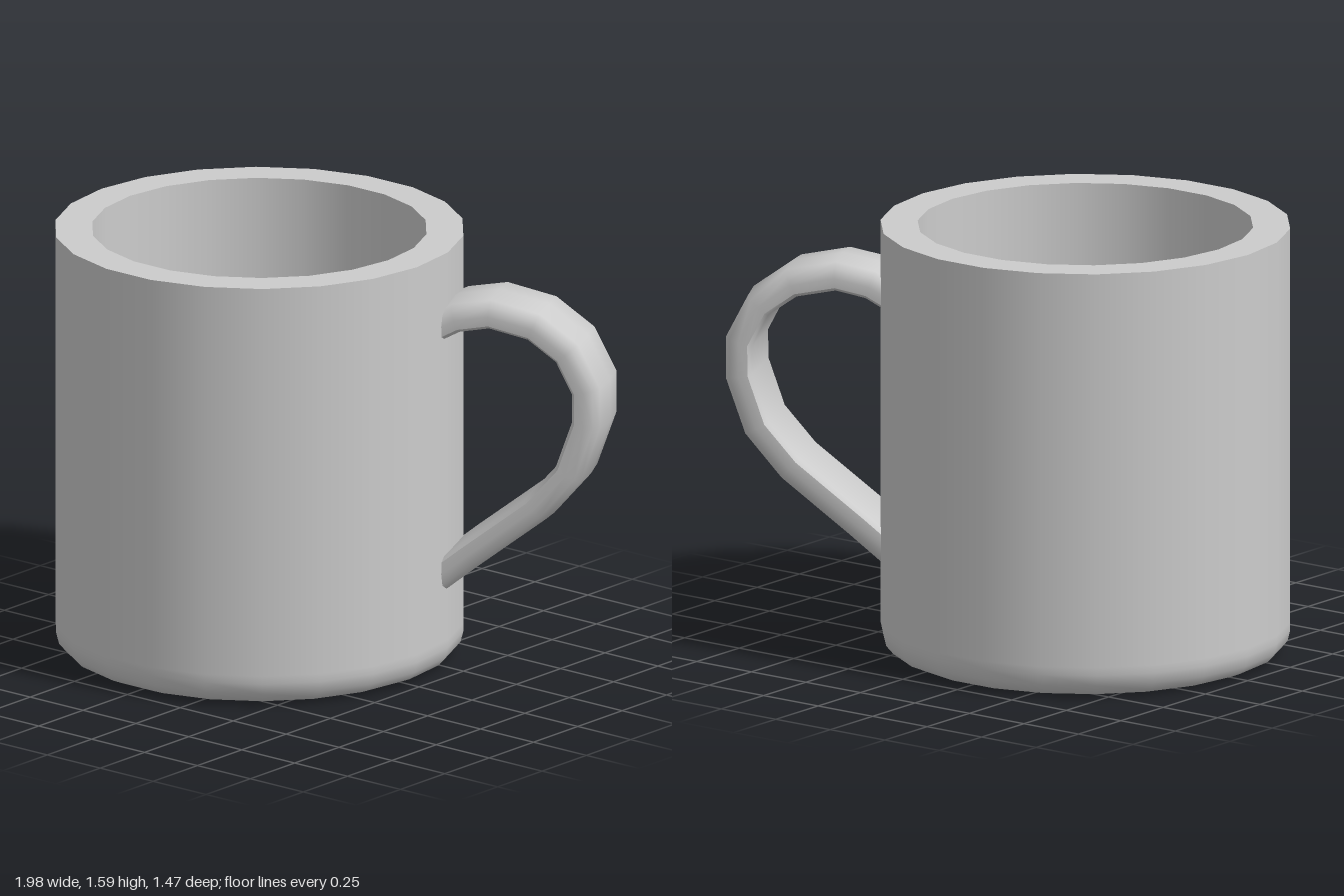
import * as THREE from 'three';
import { toCreasedNormals } from 'three/addons/utils/BufferGeometryUtils.js';

const SIDES = 22;
const HEIGHT = 1.59;
const OUTER = 0.745;
const INNER = 0.61;
const CUP_X = -0.255;
const HANDLE_TURN = 0.429;

// Turned surface; the profile is listed with its visible face on the right of the path
function turned(name, profile, material) {
  const points = profile.map(([r, y]) => new THREE.Vector2(r, y));
  const mesh = new THREE.Mesh(new THREE.LatheGeometry(points, SIDES, Math.PI / 2), material);
  mesh.name = name;
  return mesh;
}

// Sweep a closed section [outward, sideways] along a path in the xy plane
function sweep(path, section) {
  const positions = [];
  const indices = [];
  const n = section.length;
  path.forEach(([x, y], i) => {
    const p = path[Math.max(i - 1, 0)];
    const q = path[Math.min(i + 1, path.length - 1)];
    const length = Math.hypot(q[0] - p[0], q[1] - p[1]);
    const nx = -(q[1] - p[1]) / length;
    const ny = (q[0] - p[0]) / length;
    for (const [t, w] of section) positions.push(x + nx * t, y + ny * t, w);
  });
  for (let i = 0; i < path.length - 1; i++) {
    for (let j = 0; j < n; j++) {
      const a = i * n + j;
      const b = i * n + ((j + 1) % n);
      indices.push(a, b, a + n, b, b + n, a + n);
    }
  }
  const geometry = new THREE.BufferGeometry();
  geometry.setAttribute('position', new THREE.Float32BufferAttribute(positions, 3));
  geometry.setIndex(indices);
  return toCreasedNormals(geometry, 0.85);
}

export function createModel() {
  const ceramic = new THREE.MeshStandardMaterial({ color: 0xcccccc });
  ceramic.name = 'greyCeramic';
  const mug = new THREE.Group();
  mug.name = 'mug';

  // Cup: rounded foot and wall, flat rim, hollow inside
  const cup = new THREE.Group();
  cup.name = 'cup';
  cup.position.x = CUP_X;
  cup.add(
    turned('outerWall', [
      [0, 0], [0.64, 0], [0.67, 0.003], [0.71, 0.02], [0.735, 0.05],
      [OUTER, 0.09], [OUTER, 0.12], [OUTER, HEIGHT],
    ], ceramic),
    turned('rim', [[OUTER, HEIGHT], [INNER, HEIGHT]], ceramic),
    turned('innerWall', [
      [INNER, HEIGHT], [INNER, 0.24], [INNER, 0.21], [0.598, 0.17],
      [0.57, 0.145], [0.53, 0.135], [0.5, 0.135], [0, 0.135],
    ], ceramic),
  );
  mug.add(cup);

  // Handle: flat strap with a softly rounded outer face, ends buried in the wall
  const path = [
    [0.66, 1.29], [0.77, 1.35], [0.9, 1.375], [1.065, 1.34], [1.19, 1.25], [1.262, 1.11],
    [1.262, 0.98], [1.195, 0.79], [1.07, 0.645], [0.82, 0.45], [0.66, 0.32],
  ];
  const half = [[0.05, 0.115], [0.03, 0.142], [-0.005, 0.15], [-0.04, 0.148], [-0.053, 0.13]];
  const section = [
    [0.058, 0],
    ...half,
    ...half.map(([t, w]) => [t, -w]).reverse(),
  ];
  const handle = new THREE.Mesh(sweep(path, section), ceramic);
  handle.name = 'handle';
  handle.position.x = CUP_X;
  handle.rotation.y = HANDLE_TURN;
  mug.add(handle);

  return mug;
}
